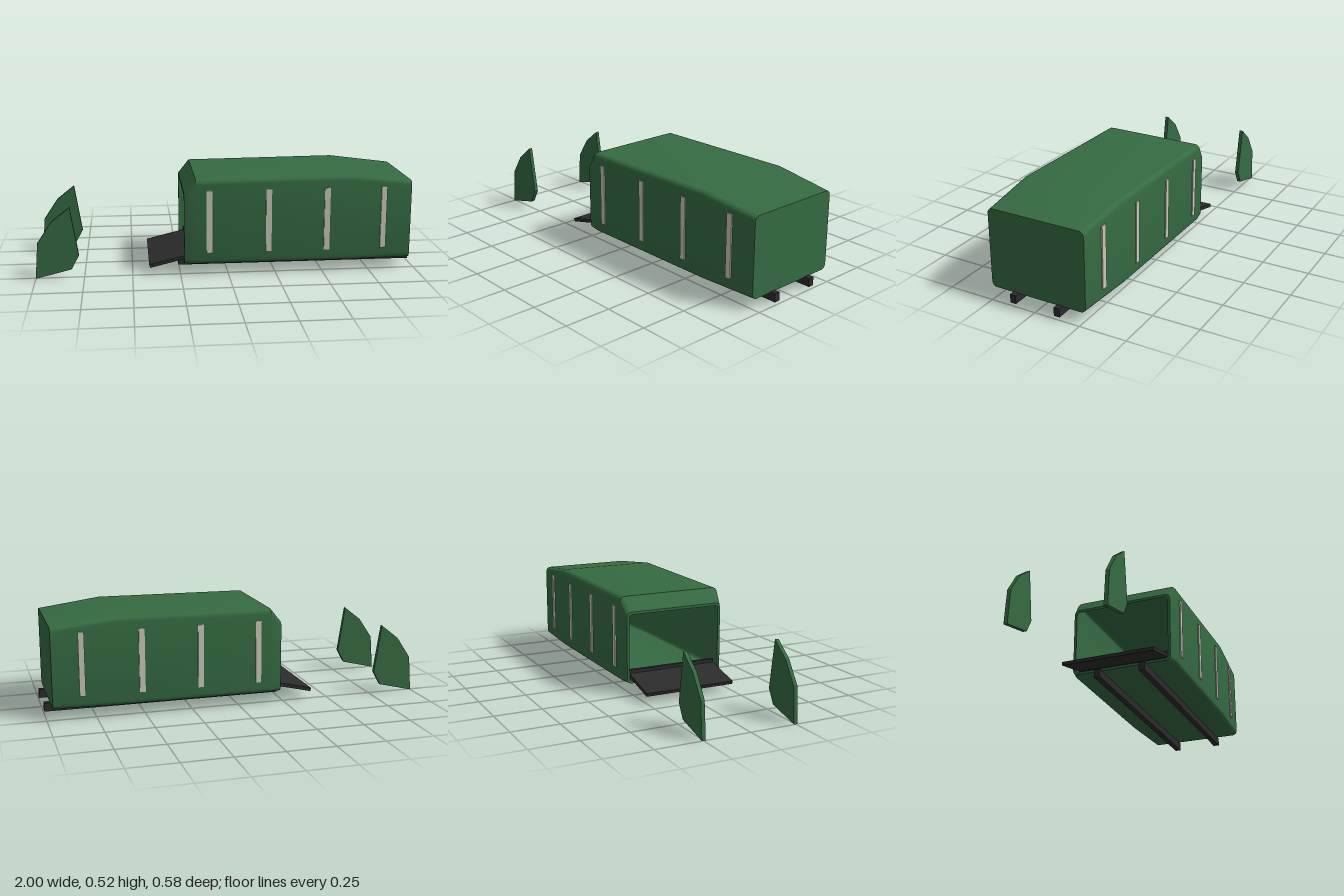
import * as THREE from 'three';
import { toCreasedNormals } from 'three/addons/utils/BufferGeometryUtils.js';

const green = new THREE.MeshStandardMaterial({ color: 0x356b42 });
green.name = 'body green';
const dark = new THREE.MeshStandardMaterial({ color: 0x2b2b2b });
dark.name = 'dark metal';
const pale = new THREE.MeshStandardMaterial({ color: 0xc8c8b8 });
pale.name = 'pale trim';

// Rounded rectangle in the z-y plane at a given x
function ring(x, half, bottom, top, r) {
  const pts = [];
  const mid = (bottom + top) / 2;
  for (let c = 0; c < 4; c++) {
    const sz = c === 0 || c === 3 ? 1 : -1;
    const sy = c < 2 ? 1 : -1;
    const cy = sy > 0 ? top - r : bottom + r;
    for (let i = 0; i <= 6; i++) {
      const a = (c + i / 6) * Math.PI / 2;
      pts.push(half === 0 ? new THREE.Vector3(x, mid, 0)
        : new THREE.Vector3(x, cy + r * Math.sin(a), sz * (half - r) + r * Math.cos(a)));
    }
  }
  return pts;
}

// Skin between successive rings
function loft(rings) {
  const pos = [];
  const tri = (a, b, c) => {
    if (a.distanceTo(b) > 1e-6 && b.distanceTo(c) > 1e-6 && c.distanceTo(a) > 1e-6) {
      for (const p of [a, b, c]) pos.push(p.x, p.y, p.z);
    }
  };
  for (let k = 0; k < rings.length - 1; k++) {
    const A = rings[k], B = rings[k + 1];
    for (let j = 0; j < A.length; j++) {
      const n = (j + 1) % A.length;
      tri(A[j], A[n], B[j]);
      tri(A[n], B[n], B[j]);
    }
  }
  const geo = new THREE.BufferGeometry();
  geo.setAttribute('position', new THREE.Float32BufferAttribute(pos, 3));
  return toCreasedNormals(geo, 0.3);
}

export function createModel() {
  const model = new THREE.Group();
  model.name = 'cargoPod';
  const add = (name, geo, mat, x = 0, y = 0, z = 0) => {
    const m = new THREE.Mesh(geo, mat);
    m.name = name;
    m.position.set(x, y, z);
    model.add(m);
    return m;
  };

  // Hollow hull, closed at +x and open at -x: outer skin, rim, inner skin
  const t = 0.014;
  const sections = [[0.97, 0.267, 0.48], [0.64, 0.286, 0.52], [-0.17, 0.286, 0.512], [-0.23, 0.274, 0.44]];
  const outer = sections.map(([x, h, top]) => ring(x, h, 0.06, top, 0.027));
  const inner = sections.map(([x, h, top], i) =>
    ring(i === 0 ? x - t : x, h - t, 0.06 + t, top - t, 0.018)).reverse();
  add('hull', loft([ring(0.97, 0, 0.06, 0.48, 0), ...outer, ...inner,
    ring(0.97 - t, 0, 0.06, 0.48, 0)]), green);

  for (const s of [1, -1]) {
    // Skids under the hull
    add('skid', new THREE.BoxGeometry(1.255, 0.045, 0.032), dark, 0.3725, 0.0405, s * 0.125);

    // Vertical trim strips on the side walls
    for (const x of [-0.1, 0.21, 0.517, 0.82]) {
      const z = x > 0.7 ? 0.275 : 0.284;
      const strip = add('sideStrip', new THREE.BoxGeometry(0.03, 0.33, 0.016), pale, x, 0.29, s * z);
      if (x > 0.7) strip.rotation.y = s * 0.057;
    }

    // Separate upright fins
    const fin = new THREE.Shape([[-1, 0.002], [-0.815, 0.047], [-0.775, 0.12], [-0.815, 0.377],
      [-0.91, 0.302], [-0.985, 0.19]].map(([x, y]) => new THREE.Vector2(x, y)));
    add('fin', new THREE.ExtrudeGeometry(fin, { depth: 0.02, bevelEnabled: false }), green,
      0, 0, s * 0.25 - 0.01);
  }

  // Loading ramp and the sill behind it
  const ramp = add('ramp', new THREE.BoxGeometry(0.215, 0.018, 0.5), dark, -0.307, 0.073, 0);
  ramp.rotation.z = 0.235;
  add('sill', new THREE.BoxGeometry(0.02, 0.05, 0.5), dark, -0.195, 0.1, 0);
  return model;
}
